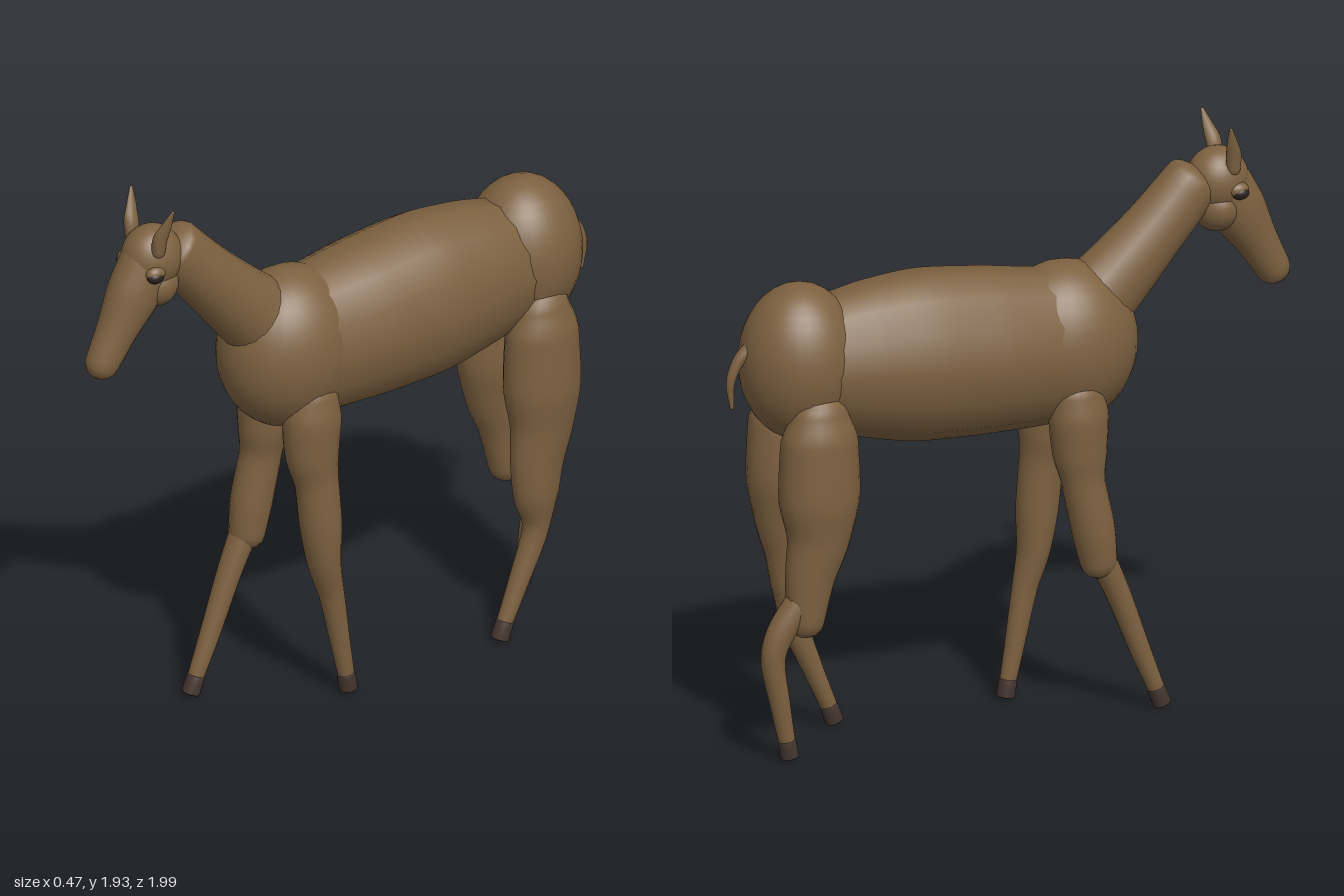
import * as THREE from 'three';

const coat = new THREE.MeshStandardMaterial({ color: 0x7d6140 });
coat.name = 'brown coat';
const horn = new THREE.MeshStandardMaterial({ color: 0x43352f });
horn.name = 'dark hoof';
const eyeDark = new THREE.MeshStandardMaterial({ color: 0x2a211c });
eyeDark.name = 'dark eye';

// Smooth tube through sections [x, y, z, half width in x, half depth], closed by domes
function loft(sections, { sides = 20, steps = 5, dome = 1 } = {}) {
  const path = new THREE.CatmullRomCurve3(sections.map(([x, y, z]) => new THREE.Vector3(x, y, z)));
  const size = new THREE.CatmullRomCurve3(sections.map((s) => new THREE.Vector3(s[3], s[4], 0)));
  const count = (sections.length - 1) * steps;
  const rings = [];
  const addRing = (t, scale, shift) => {
    const p = path.getPoint(t);
    const r = size.getPoint(t);
    const dir = path.getTangent(t).setX(0).normalize();
    p.addScaledVector(dir, shift * dome * Math.min(r.x, r.y));
    rings.push({ p, dir, rx: r.x * scale, rn: r.y * scale });
  };
  const caps = [0.02, 0.4, 0.7, 0.92];
  caps.forEach((c) => addRing(0, c, -Math.sqrt(1 - c * c)));
  for (let i = 0; i <= count; i++) addRing(i / count, 1, 0);
  [...caps].reverse().forEach((c) => addRing(1, c, Math.sqrt(1 - c * c)));

  const pos = [];
  const index = [];
  rings.forEach(({ p, dir, rx, rn }, i) => {
    for (let j = 0; j < sides; j++) {
      const a = (j / sides) * Math.PI * 2;
      const c = Math.cos(a) * rx;
      const s = Math.sin(a) * rn;
      // the in-plane normal is X cross dir
      pos.push(p.x + c, p.y - dir.z * s, p.z + dir.y * s);
      if (i === rings.length - 1) continue;
      const k = (j + 1) % sides;
      const a0 = i * sides + j, a1 = i * sides + k;
      index.push(a0, a0 + sides, a1, a1, a0 + sides, a1 + sides);
    }
  });
  // end caps
  const last = (rings.length - 1) * sides;
  for (let j = 1; j < sides - 1; j++) {
    index.push(0, j, j + 1, last, last + j + 1, last + j);
  }
  const g = new THREE.BufferGeometry();
  g.setAttribute('position', new THREE.Float32BufferAttribute(pos, 3));
  g.setIndex(index);
  g.computeVertexNormals();
  return g;
}

export function createModel() {
  const model = new THREE.Group();
  model.name = 'foal';

  const add = (name, geometry, material = coat, parent = model) => {
    const m = new THREE.Mesh(geometry, material);
    m.name = name;
    parent.add(m);
    return m;
  };
  const ball = (name, [x, y, z], [rx, ry, rz], material = coat) => {
    const m = add(name, new THREE.SphereGeometry(1, 32, 20), material);
    m.position.set(x, y, z);
    m.scale.set(rx, ry, rz);
    return m;
  };

  // Body
  add('barrel', loft([
    [0, 1.24, 0.3, 0.17, 0.25], [0, 1.245, 0.1, 0.2, 0.265], [0, 1.26, -0.1, 0.222, 0.28],
    [0, 1.275, -0.3, 0.225, 0.287], [0, 1.287, -0.5, 0.207, 0.262], [0, 1.29, -0.68, 0.175, 0.22],
  ], { sides: 14, dome: 0.3 }));
  ball('chest', [0, 1.248, 0.2], [0.205, 0.277, 0.25]);
  ball('rump', [0, 1.315, -0.735], [0.192, 0.262, 0.2]);

  // Neck and head
  add('neck', loft([
    [0, 1.345, 0.27, 0.13, 0.145], [0, 1.42, 0.356, 0.115, 0.13],
    [0, 1.585, 0.52, 0.1, 0.108], [0, 1.735, 0.66, 0.085, 0.1],
  ], { dome: 0.5 }));
  ball('skull', [0, 1.728, 0.745], [0.095, 0.112, 0.105]);
  ball('jaw', [0, 1.64, 0.74], [0.092, 0.085, 0.08]);
  add('muzzle', loft([
    [0, 1.72, 0.755, 0.085, 0.1], [0, 1.62, 0.815, 0.082, 0.095],
    [0, 1.5, 0.885, 0.065, 0.07], [0, 1.4, 0.942, 0.055, 0.058],
  ]));

  // Eyes and ears
  for (const s of [1, -1]) {
    const side = s > 0 ? 'left' : 'right';
    ball(side + 'EyeLid', [s * 0.078, 1.71, 0.785], [0.026, 0.026, 0.036]);
    ball(side + 'Eye', [s * 0.084, 1.7, 0.79], [0.024, 0.023, 0.03], eyeDark);
    add(side + 'Ear', loft([
      [s * 0.072, 1.78, 0.77, 0.022, 0.024], [s * 0.08, 1.83, 0.768, 0.02, 0.027],
      [s * 0.097, 1.88, 0.755, 0.012, 0.019], [s * 0.115, 1.932, 0.743, 0.004, 0.006],
    ], { sides: 12 }));
  }

  // Tail
  add('tail', loft([
    [0, 1.38, -0.9, 0.028, 0.028], [0, 1.345, -0.945, 0.02, 0.02],
    [0, 1.27, -0.977, 0.015, 0.015], [0, 1.185, -0.972, 0.007, 0.007],
  ], { sides: 12 }));

  // Legs: each is one or two tapered limbs and a hoof continuing the last slope
  const leg = (name, side, limbs, hoofZ) => {
    const g = new THREE.Group();
    g.name = name;
    model.add(g);
    limbs.forEach((limb, i) => {
      const part = limb.map(([x, ...rest]) => [side * x, ...rest]);
      add(i ? 'lowerLeg' : 'upperLeg', loft(part, { dome: 0.9 }), coat, g);
    });
    const end = limbs[limbs.length - 1].at(-1);
    add('hoof', loft([
      [side * end[0], 0.07, end[2], 0.03, 0.03], [side * end[0], 0.016, hoofZ, 0.031, 0.031],
    ], { dome: 0.25, steps: 2 }), horn, g);
  };

  leg('leftFrontLeg', 1, [[
    [0.13, 1.11, 0.19, 0.065, 0.085], [0.125, 1.02, 0.195, 0.085, 0.102],
    [0.125, 0.9, 0.195, 0.08, 0.092], [0.132, 0.8, 0.182, 0.067, 0.075],
    [0.137, 0.65, 0.17, 0.068, 0.072], [0.137, 0.5, 0.155, 0.06, 0.055],
    [0.135, 0.38, 0.125, 0.042, 0.043], [0.133, 0.2, 0.09, 0.033, 0.034],
    [0.133, 0.07, 0.065, 0.027, 0.028],
  ]], 0.056);

  leg('rightFrontLeg', -1, [[
    [0.13, 1.11, 0.195, 0.065, 0.085], [0.125, 1.02, 0.2, 0.085, 0.1],
    [0.125, 0.9, 0.205, 0.08, 0.09], [0.132, 0.8, 0.215, 0.067, 0.072],
    [0.137, 0.65, 0.245, 0.068, 0.072], [0.137, 0.53, 0.265, 0.06, 0.062],
  ], [
    [0.137, 0.54, 0.275, 0.05, 0.046], [0.137, 0.42, 0.33, 0.042, 0.041],
    [0.137, 0.2, 0.415, 0.033, 0.034], [0.137, 0.07, 0.468, 0.027, 0.028],
  ]], 0.489);

  const thigh = [
    [0.135, 1.17, -0.72, 0.07, 0.095], [0.13, 1.08, -0.72, 0.1, 0.13],
    [0.13, 0.9, -0.72, 0.105, 0.138],
  ];
  leg('leftHindLeg', 1, [[
    ...thigh,
    [0.135, 0.75, -0.715, 0.085, 0.115], [0.137, 0.62, -0.695, 0.07, 0.097],
    [0.137, 0.5, -0.69, 0.063, 0.08], [0.135, 0.38, -0.692, 0.042, 0.047],
    [0.133, 0.2, -0.625, 0.034, 0.034], [0.133, 0.07, -0.57, 0.027, 0.028],
  ]], -0.55);

  leg('rightHindLeg', -1, [[
    ...thigh,
    [0.135, 0.75, -0.725, 0.085, 0.108], [0.137, 0.62, -0.755, 0.07, 0.085],
    [0.137, 0.47, -0.772, 0.06, 0.062],
  ], [
    [0.137, 0.54, -0.79, 0.05, 0.05], [0.137, 0.44, -0.86, 0.045, 0.047],
    [0.137, 0.36, -0.886, 0.04, 0.041], [0.137, 0.2, -0.862, 0.034, 0.034],
    [0.137, 0.07, -0.838, 0.027, 0.028],
  ]], -0.828);

  return model;
}
